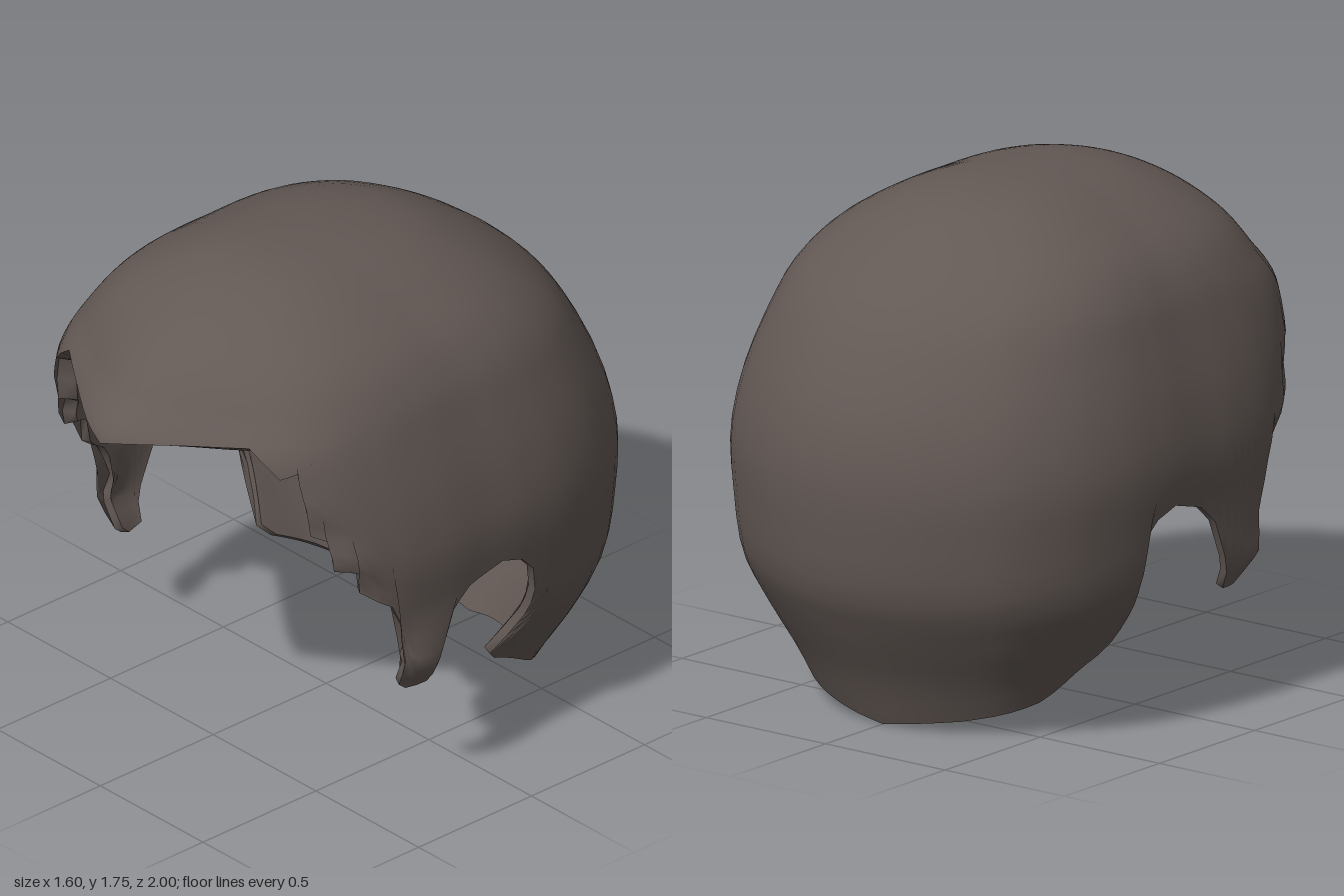
import * as THREE from 'three';

const ROWS = 32;       // rings from crown to hairline
const THICK = 0.075;   // thickness of the hair shell
const CURL = 0.045;    // how far the side edges turn inward
const { smoothstep, clamp } = THREE.MathUtils;

// Crown-to-nape levels: y, half width, front z, back z, centre z
const LEVELS = [
  [1.745, 0, 0.1, 0.1, 0.1], [1.735, 0.13, 0.3, -0.12, 0.09], [1.7, 0.28, 0.46, -0.32, 0.07],
  [1.63, 0.43, 0.62, -0.48, 0.05], [1.54, 0.56, 0.76, -0.62, 0.03], [1.43, 0.645, 0.88, -0.75, 0],
  [1.3, 0.7, 1, -0.85, 0], [1.1, 0.765, 0.97, -0.95, 0], [0.9, 0.8, 0.91, -0.995, 0],
  [0.7, 0.79, 0.82, -0.99, 0], [0.5, 0.765, 0.76, -0.96, 0], [0.34, 0.7, 0.7, -0.88, 0],
  [0.17, 0.61, 0.6, -0.78, 0], [0, 0.53, 0.5, -0.7, 0],
];
// Half outline seen from above, front to back, in unit size
const PLAN = [
  [0, 1], [0.15, 0.97], [0.4, 0.87], [0.73, 0.72], [0.89, 0.58], [0.97, 0.4], [1, 0.2], [1, 0],
  [1, -0.2], [0.97, -0.4], [0.88, -0.6], [0.71, -0.78], [0.46, -0.91], [0.22, -0.98], [0, -1],
];
// Hairline as seen from the side (z, y): fringe, temple, sideburn, ear opening, nape
const HAIRLINE = [
  [1.0, 1.295], [0.74, 1.36], [0.7, 1.27], [0.65, 1.29], [0.635, 1.2], [0.635, 1.06], [0.58, 1.03],
  [0.58, 0.91], [0.48, 0.87], [0.49, 0.81], [0.37, 0.73], [0.35, 0.68], [0.31, 0.6], [0.335, 0.55],
  [0.33, 0.48], [0.32, 0.39], [0.29, 0.37], [0.2, 0.37], [0.16, 0.5], [0.11, 0.64], [0.04, 0.7],
  [-0.1, 0.74], [-0.19, 0.71], [-0.25, 0.65], [-0.27, 0.55], [-0.265, 0.42], [-0.24, 0.33],
  [-0.21, 0.25], [-0.25, 0.21], [-0.48, 0.1], [-0.64, 0.045], [-0.7, 0],
];

const spline = (pts) => new THREE.CatmullRomCurve3(pts.map((p) => new THREE.Vector3(...p)), false, 'catmullrom');
const sizes = spline(LEVELS.map(([y, w, f]) => [y, w, f]));
const depths = spline(LEVELS.map(([, , , b, c]) => [b, c, 0]));
const plan = spline(PLAN.map(([x, z]) => [x, 0, z]));
const roundPlan = spline(PLAN.map(([x, z], i) => (i < 7 ? [PLAN[14 - i][0], 0, -PLAN[14 - i][1]] : [x, 0, z])));

// Point on the outside; t runs crown to nape, u runs front to back
function surface(t, u) {
  const { x: y, y: w, z: front } = sizes.getPoint(t);
  const { x: back, y: centre } = depths.getPoint(t);
  const p = plan.getPoint(u).lerp(roundPlan.getPoint(u), smoothstep(y, 1.25, 1.75));
  const z = centre + p.z * (p.z > 0 ? front - centre : centre - back);
  // Sideburns hang nearly straight, the nape corners tuck in toward the neck
  const flare = 0.07 * smoothstep(z, 0, 0.25) * (1 - smoothstep(y, 0.35, 0.75));
  const tuck = 0.07 * smoothstep(z, -0.5, -0.2) * (1 - smoothstep(z, -0.1, 0.1)) * (1 - smoothstep(y, 0.2, 0.6));
  // Slight waves beside the face
  const faceZ = 0.08 + 0.5 * y;
  const wave = smoothstep(z, faceZ - 0.15, faceZ) * (1 - smoothstep(y, 1.1, 1.25));
  const x = p.x * w * (1 + flare - tuck) + 0.01 * Math.sin(y * 28) * wave;
  return new THREE.Vector3(Math.max(0, x), y, z);
}

// Outward direction of the surface
function surfaceNormal(t, u) {
  const e = 0.004;
  const slope = (a, b) => surface(...b).sub(surface(...a));
  const down = slope([clamp(t - e, 0, 1), u], [clamp(t + e, 0, 1), u]);
  const along = slope([t, clamp(u - e, 0, 1)], [t, clamp(u + e, 0, 1)]);
  const n = down.cross(along);
  if (u <= 0 || u >= 1) n.x = 0;
  return n.normalize();
}

// Solve a falling function on 0..1
function solve(fn, target) {
  let lo = 0, hi = 1;
  for (let i = 0; i < 30; i++) {
    const mid = (lo + hi) / 2;
    if (fn(mid) > target) lo = mid; else hi = mid;
  }
  return (lo + hi) / 2;
}

// Half of the hairline as evenly split (t, u) pairs
function hairlineColumns() {
  const knots = HAIRLINE.map(([z, y], i) => {
    const t = solve((s) => sizes.getPoint(s).x, y);
    const u = i === 0 ? 0 : i === HAIRLINE.length - 1 ? 1 : solve((s) => surface(t, s).z, z);
    return { t, u };
  });
  const cols = [knots[0]];
  for (let i = 1; i < knots.length; i++) {
    const a = knots[i - 1], b = knots[i];
    const n = Math.max(1, Math.ceil(Math.max(Math.abs(a.u - b.u) / 0.025, Math.abs(a.t - b.t) / 0.04)));
    for (let k = 1; k <= n; k++) {
      cols.push({ t: a.t + (b.t - a.t) * k / n, u: a.u + (b.u - a.u) * k / n });
    }
  }
  // Smoothed start direction keeps neighbouring columns from crossing
  cols.forEach((c, i) => {
    const r = Math.min(5, i, cols.length - 1 - i);
    const near = cols.slice(i - r, i + r + 1);
    c.start = near.reduce((s, n) => s + n.u, 0) / near.length;
  });
  return cols;
}

function makeGeometry(points, index, normals) {
  const g = new THREE.BufferGeometry().setFromPoints(points);
  g.setIndex(index);
  if (normals) g.setAttribute('normal', new THREE.Float32BufferAttribute(normals.flatMap((n) => n.toArray()), 3));
  else g.computeVertexNormals();
  return g;
}

export function createModel() {
  const group = new THREE.Group();
  group.name = 'hair';
  const add = (name, geometry, side) => {
    const mesh = new THREE.Mesh(geometry, new THREE.MeshStandardMaterial({ color: 0x625854, side }));
    mesh.name = name;
    group.add(mesh);
  };

  // Columns from the crown down to the hairline: outside p, inside q, normal n
  const half = hairlineColumns().map(({ t, u, start }) => Array.from({ length: ROWS }, (_, r) => {
    const v = (r + 1) / ROWS;
    const uv = [t * v, start + (u - start) * v ** 4];
    const base = surface(...uv), n = surfaceNormal(...uv);
    const curl = CURL * v ** 14 * smoothstep(base.z, -0.6, -0.3) * (1 - smoothstep(base.z, 0.5, 0.7));
    return { p: base.clone().addScaledVector(n, -curl), q: base.addScaledVector(n, -THICK), n };
  }));

  // The other half is mirrored to close the ring
  const flip = (a) => new THREE.Vector3(-a.x, a.y, a.z);
  const mirrored = half.slice(1, -1).reverse()
    .map((c) => c.map(({ p, q, n }) => ({ p: flip(p), q: flip(q), n: flip(n) })));
  const ring = [...half, ...mirrored];
  const count = ring.length;
  const crown = {
    p: new THREE.Vector3(0, 1.745, 0.1), q: new THREE.Vector3(0, 1.745 - THICK, 0.1), n: new THREE.Vector3(0, 1, 0),
  };
  const samples = [crown, ...ring.flat()];
  const at = (j, r) => (r === 0 ? 0 : 1 + (j % count) * ROWS + r - 1);

  const index = [];
  for (let j = 0; j < count; j++) {
    for (let r = 0; r < ROWS; r++) {
      const a = at(j, r), b = at(j, r + 1), c = at(j + 1, r + 1), d = at(j + 1, r);
      index.push(a, b, c);
      if (r > 0) index.push(a, c, d);
    }
  }
  add('outerHair', makeGeometry(samples.map((s) => s.p), index, samples.map((s) => s.n)), THREE.FrontSide);
  add('innerHair', makeGeometry(samples.map((s) => s.q), [...index].reverse(),
    samples.map((s) => s.n.clone().negate())), THREE.FrontSide);

  // Edge joining outside and inside along the hairline
  const edge = [], edgeIndex = [];
  for (let j = 0; j < count; j++) {
    const { p, q } = samples[at(j, ROWS)];
    edge.push(p, q);
    const a = 2 * j, b = 2 * ((j + 1) % count);
    edgeIndex.push(a, a + 1, b + 1, a, b + 1, b);
  }
  add('hairlineEdge', makeGeometry(edge, edgeIndex), THREE.DoubleSide);
  return group;
}
